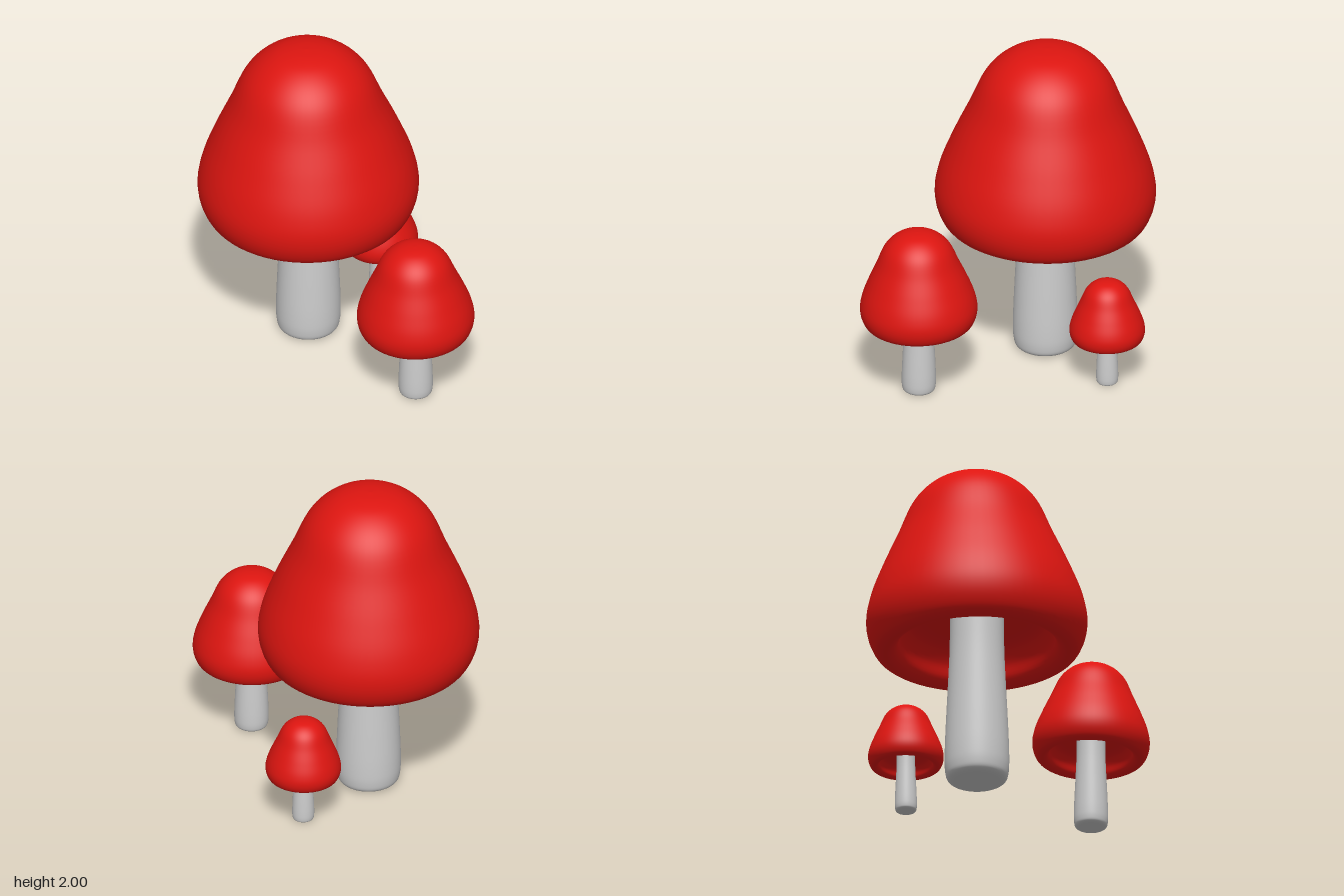
import * as THREE from 'three';

// Smooth curve through [radius, height] points, revolved about y
function turned(points, steps) {
  const curve = new THREE.CatmullRomCurve3(points.map(([r, y]) => new THREE.Vector3(r, y, 0)), false, 'centripetal');
  const profile = curve.getPoints(steps).map(p => new THREE.Vector2(Math.max(p.x, 0), p.y));
  return new THREE.LatheGeometry(profile, 64);
}

// Hollow underside from the centre out, round the lip, then up the outside to the crown
const CAP = [
  [0, 1.09], [0.2, 1.085], [0.38, 1.05], [0.45, 0.97], [0.485, 0.88], [0.54, 0.845],
  [0.6, 0.868], [0.645, 0.95], [0.66, 1.06], [0.634, 1.2], [0.558, 1.4], [0.468, 1.6],
  [0.38, 1.8], [0.3, 1.896], [0.2, 1.962], [0.1, 1.991], [0, 2],
];
const STEM = [
  [0, 0], [0.09, 0], [0.15, 0.004], [0.178, 0.022], [0.19, 0.07], [0.193, 0.16],
  [0.187, 0.35], [0.175, 0.6], [0.164, 0.85], [0.16, 1.1],
];

export function createModel() {
  const red = new THREE.MeshStandardMaterial({ color: 0xdd1510 });
  const grey = new THREE.MeshStandardMaterial({ color: 0xcccccc });
  const capGeometry = turned(CAP, 90).translate(0, -1, 0); // pivot inside the cap for tilting
  const stemGeometry = turned(STEM, 40);
  const model = new THREE.Group();
  model.name = 'mushrooms';

  // name, x, z, scale, cap tilt about x and z
  const plants = [
    ['largeMushroom', -0.19, -0.165, 1, -0.012, 0.012],
    ['mediumMushroom', 0.49, 0.485, 0.531, 0.02, 0.008],
    ['smallMushroom', 0.212, -0.607, 0.342, 0.005, 0.015],
  ];
  for (const [name, x, z, scale, tiltX, tiltZ] of plants) {
    const mushroom = new THREE.Group();
    mushroom.name = name;
    const cap = new THREE.Mesh(capGeometry, red);
    cap.name = 'cap';
    cap.position.y = 1;
    cap.rotation.set(tiltX, 0, tiltZ);
    const stem = new THREE.Mesh(stemGeometry, grey);
    stem.name = 'stem';
    mushroom.add(cap, stem);
    mushroom.position.set(x, 0, z);
    mushroom.scale.setScalar(scale);
    model.add(mushroom);
  }
  return model;
}
